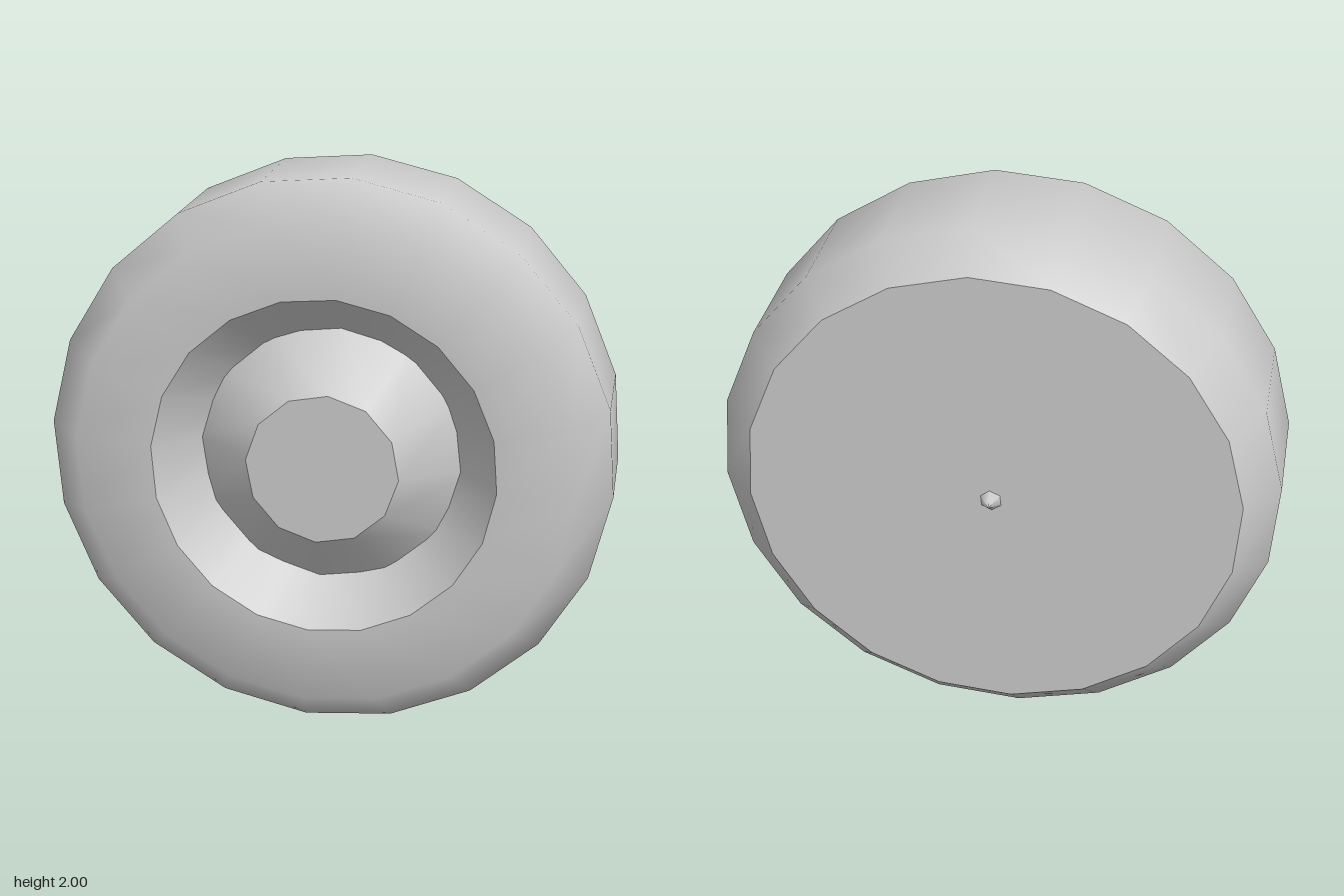
import * as THREE from 'three';

const TWIST = -0.083; // small roll of the facets about the axle

// Revolve a [radius, z] profile (listed back to front) about the z axle
function revolve(name, profile, sides, material) {
  const points = profile.map(([r, z]) => new THREE.Vector2(r, z));
  const geometry = new THREE.LatheGeometry(points, sides, TWIST, Math.PI * 2);
  geometry.rotateX(Math.PI / 2);
  const mesh = new THREE.Mesh(geometry, material);
  mesh.name = name;
  return mesh;
}

export function createModel() {
  const wheel = new THREE.Group();
  wheel.name = 'wheel';
  const grey = new THREE.MeshStandardMaterial({ color: 0xcccccc });

  // Tyre: bevelled tread and front sidewall, smoothly shaded
  wheel.add(revolve('tyre', [
    [0.88, -0.318], [1.003, -0.195], [1.003, 0.24], [0.88, 0.365], [0.61, 0.365],
  ], 20, grey));

  // Flat back
  wheel.add(revolve('backPlate', [[0, -0.318], [0.88, -0.318]], 20, grey));

  // Rim sloping in from the sidewall, running on behind the hub
  wheel.add(revolve('rim', [[0.61, 0.365], [0.42, 0.14]], 20, grey));

  // Hub cone rising out of the rim, with a flat cap
  wheel.add(revolve('hub', [[0.505, 0.16], [0.27, 0.365]], 12, grey));
  wheel.add(revolve('hubCap', [[0.27, 0.365], [0, 0.365]], 12, grey));

  // Small pointed axle stub at the back
  wheel.add(revolve('axleStub', [[0, -0.366], [0.04, -0.318]], 6, grey));

  wheel.children.forEach((part) => { part.position.y = 1; });
  return wheel;
}
